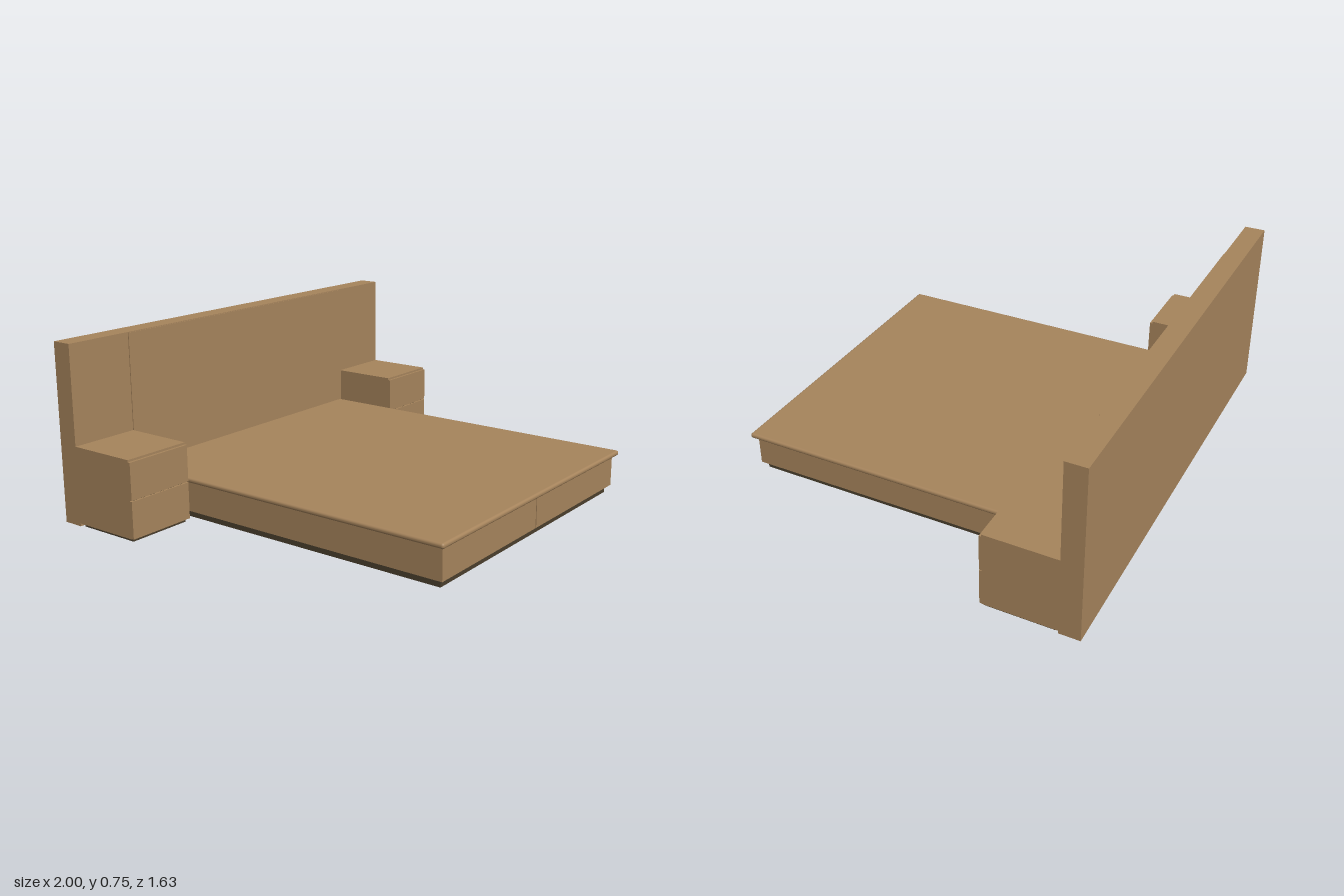
import * as THREE from 'three';
import { RoundedBoxGeometry } from 'three/addons/geometries/RoundedBoxGeometry.js';

export function createModel() {
  const bed = new THREE.Group();
  bed.name = 'platformBed';
  const wood = new THREE.MeshStandardMaterial({ color: 0xa6845c });
  wood.name = 'oakWood';
  const dark = new THREE.MeshStandardMaterial({ color: 0x4a3f2d });
  dark.name = 'darkPlinth';

  // Box given by its lower and upper limits on each axis; optional edge radius
  function block(name, [x0, x1], [y0, y1], [z0, z1], material, parent = bed, radius = 0) {
    const w = x1 - x0, h = y1 - y0, d = z1 - z0;
    const geometry = radius
      ? new RoundedBoxGeometry(w, h, d, 3, radius)
      : new THREE.BoxGeometry(w, h, d);
    const mesh = new THREE.Mesh(geometry, material);
    mesh.position.set((x0 + x1) / 2, (y0 + y1) / 2, (z0 + z1) / 2);
    mesh.name = name;
    parent.add(mesh);
    return mesh;
  }

  // Headboard with a slightly proud centre panel
  block('headboard', [-1, 1], [0, 0.75], [-0.818, -0.73], wood);
  block('headboardCentrePanel', [-0.697, 0.697], [0.03, 0.747], [-0.74, -0.726], wood);

  // Platform, carcass and recessed plinth
  block('platformTop', [-0.697, 0.697], [0.165, 0.187], [-0.735, 0.815], wood, bed, 0.01);
  block('platformBase', [-0.67, 0.67], [0.032, 0.167], [-0.73, 0.783], wood);
  block('platformPlinth', [-0.65, 0.65], [0, 0.034], [-0.715, 0.775], dark);
  block('drawerGap', [-0.006, 0.006], [0.032, 0.163], [0.78, 0.786], dark);

  for (const side of [-1, 1]) {
    // Wide drawer at the foot of the bed
    const drawer = [0.003, 0.67].map((x) => x * side).sort((a, b) => a - b);
    block('footDrawer', drawer, [0.032, 0.162], [0.783, 0.795], wood);

    // Bedside cabinet with two drawer fronts
    const stand = new THREE.Group();
    stand.name = side > 0 ? 'leftNightstand' : 'rightNightstand';
    bed.add(stand);
    const span = (a, b) => (side > 0 ? [a, b] : [-b, -a]);
    block('cabinet', span(0.697, 1), [0.012, 0.335], [-0.731, -0.428], wood, stand);
    block('cabinetPlinth', span(0.71, 0.99), [0, 0.014], [-0.715, -0.43], dark, stand);
    block('drawerSeam', span(0.705, 0.992), [0.164, 0.176], [-0.43, -0.425], dark, stand);
    block('lowerDrawer', span(0.697, 1), [0.014, 0.168], [-0.428, -0.417], wood, stand);
    block('upperDrawer', span(0.697, 1), [0.172, 0.326], [-0.428, -0.417], wood, stand);
  }
  return bed;
}
